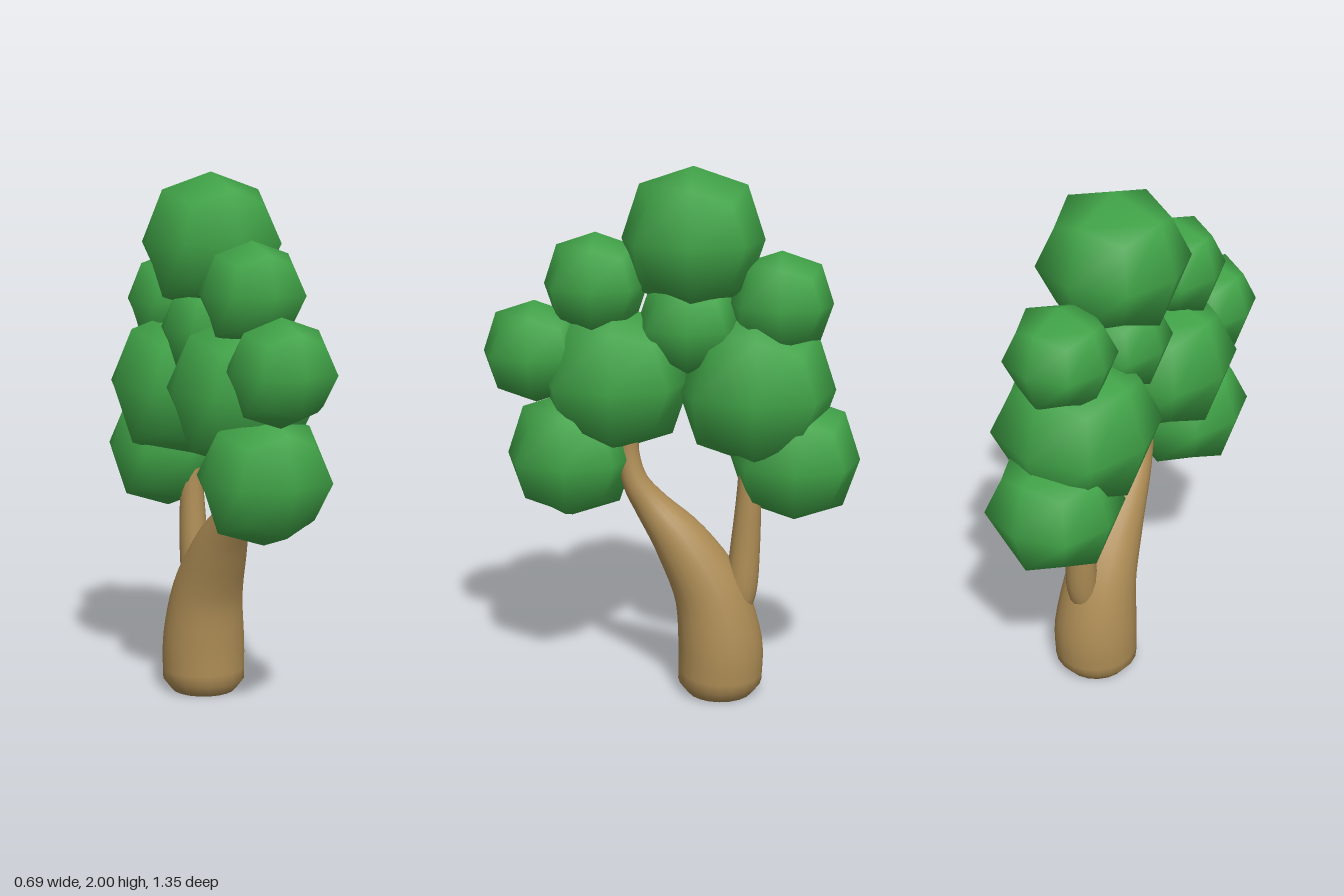
import * as THREE from 'three';
import { mergeVertices } from 'three/addons/utils/BufferGeometryUtils.js';

const leafGreen = new THREE.MeshStandardMaterial({ color: 0x40a347 });
const barkBrown = new THREE.MeshStandardMaterial({ color: 0xad8c55 });
leafGreen.name = 'leafGreen';
barkBrown.name = 'barkBrown';

// Leaf ball: a cube subdivided once, with edges and corners pulled in
function leafBall() {
  let geo = new THREE.BoxGeometry(2, 2, 2, 2, 2, 2);
  geo.deleteAttribute('uv');
  geo.deleteAttribute('normal');
  geo = mergeVertices(geo);
  const pos = geo.attributes.position;
  const pull = [1, 1, 0.75, 0.556];
  for (let i = 0; i < pos.count; i++) {
    const v = new THREE.Vector3().fromBufferAttribute(pos, i);
    const axes = v.toArray().filter((c) => Math.abs(c) > 0.5).length;
    v.multiplyScalar(pull[axes]);
    pos.setXYZ(i, v.x, v.y, v.z);
  }
  geo.computeVertexNormals();
  return geo;
}

// Tapered limb through stations [x, y, z, radius]; baseRadius adds a bevelled foot
function limb(stations, sides, steps, baseRadius) {
  const path = new THREE.CatmullRomCurve3(
    stations.map((s) => new THREE.Vector3(s[0], s[1], s[2])), false, 'catmullrom');
  const radii = new THREE.CatmullRomCurve3(
    stations.map((s) => new THREE.Vector3(s[3], 0, 0)), false, 'catmullrom');
  const rings = [];
  for (let i = 0; i <= steps; i++) {
    rings.push({ c: path.getPoint(i / steps), t: path.getTangent(i / steps), r: radii.getPoint(i / steps).x });
  }
  if (baseRadius) {
    const up = new THREE.Vector3(0, 1, 0);
    const foot = rings[0].c.clone().setY(0);
    rings[0].t = up;
    rings.unshift({ c: foot, t: up, r: baseRadius });
  }
  const verts = [], index = [];
  for (const { c, t, r } of rings) {
    const u = new THREE.Vector3(1, 0, 0).addScaledVector(t, -t.x).normalize();
    const v = new THREE.Vector3().crossVectors(t, u);
    for (let j = 0; j < sides; j++) {
      const a = (j / sides) * Math.PI * 2;
      const p = c.clone().addScaledVector(u, r * Math.cos(a)).addScaledVector(v, r * Math.sin(a));
      verts.push(p.x, p.y, p.z);
    }
  }
  const last = rings.length - 1;
  const low = rings.length * sides, high = low + 1;
  verts.push(...rings[0].c.toArray(), ...rings[last].c.toArray());
  for (let j = 0; j < sides; j++) {
    const k = (j + 1) % sides;
    for (let i = 0; i < last; i++) {
      const a = i * sides + j, b = i * sides + k;
      index.push(a, b, a + sides, b, b + sides, a + sides);
    }
    index.push(low, k, j, high, last * sides + j, last * sides + k);
  }
  const geo = new THREE.BufferGeometry();
  geo.setAttribute('position', new THREE.Float32BufferAttribute(verts, 3));
  geo.setIndex(index);
  geo.computeVertexNormals();
  return geo;
}

export function createModel() {
  const tree = new THREE.Group();
  tree.name = 'tree';

  // Leaning trunk that bends forward into the front foliage
  const trunk = new THREE.Mesh(limb([
    [-0.01, 0.045, -0.185, 0.16],
    [-0.01, 0.2, -0.185, 0.16],
    [0, 0.4, -0.145, 0.137],
    [0.03, 0.59, -0.045, 0.105],
    [0.06, 0.73, 0.06, 0.068],
    [0.085, 0.83, 0.12, 0.05],
    [0.09, 0.94, 0.145, 0.04],
    [0.09, 1.04, 0.14, 0.035],
  ], 20, 28, 0.125), barkBrown);
  trunk.name = 'trunk';
  tree.add(trunk);

  // Thin branch rising behind the trunk
  const branch = new THREE.Mesh(limb([
    [-0.02, 0.32, -0.24, 0.05],
    [-0.025, 0.42, -0.262, 0.06],
    [-0.035, 0.58, -0.273, 0.056],
    [-0.04, 0.78, -0.284, 0.047],
    [-0.05, 0.98, -0.29, 0.042],
  ], 14, 14), barkBrown);
  branch.name = 'branch';
  tree.add(branch);

  // Foliage clusters: name, x, y, z, radius
  const balls = [
    ['topFoliage', 0, 1.74, -0.075, 0.26],
    ['centreFoliage', 0, 1.425, -0.06, 0.19],
    ['largeFrontFoliage', 0.068, 1.22, 0.2, 0.277],
    ['largeBackFoliage', -0.065, 1.19, -0.3, 0.292],
    ['lowerFrontFoliage', 0.115, 0.925, 0.365, 0.24],
    ['lowerBackFoliage', -0.11, 0.925, -0.44, 0.24],
    ['outerFrontFoliage', 0.148, 1.315, 0.49, 0.192],
    ['upperFrontFoliage', 0.088, 1.57, 0.27, 0.19],
    ['upperBackFoliage', -0.087, 1.51, -0.383, 0.19],
  ];
  const ballGeo = leafBall();
  for (const [name, x, y, z, r] of balls) {
    const ball = new THREE.Mesh(ballGeo, leafGreen);
    ball.name = name;
    ball.position.set(x, y, z);
    ball.rotation.y = Math.PI / 12;
    ball.scale.setScalar(r);
    tree.add(ball);
  }
  return tree;
}
